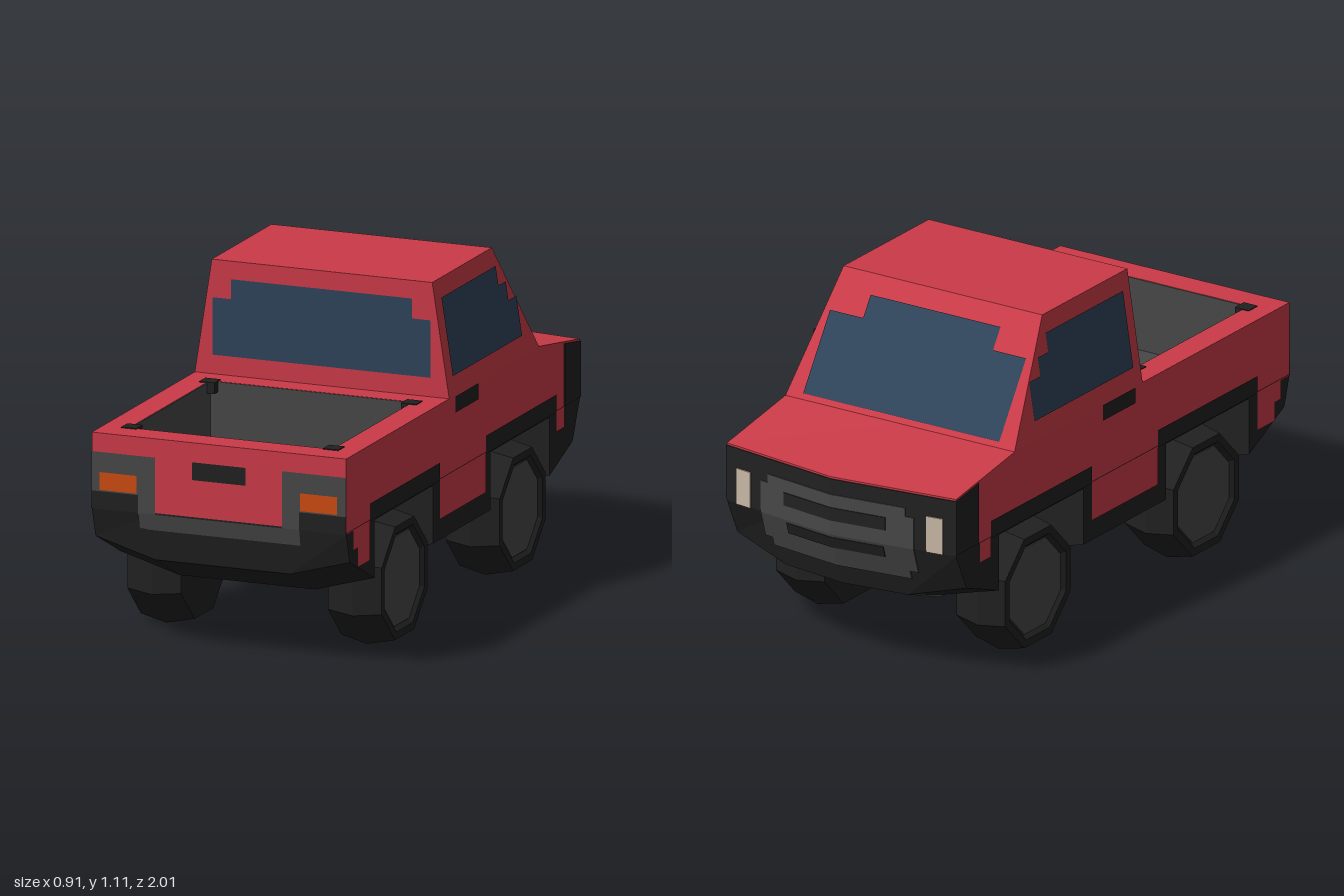
import * as THREE from 'three';

const paint = (name, color) => {
  const m = new THREE.MeshStandardMaterial({ color, side: THREE.DoubleSide });
  m.name = name;
  return m;
};

export function createModel() {
  const model = new THREE.Group();
  model.name = 'pickupTruck';
  const red = paint('body red', 0xcb3b48), black = paint('trim black', 0x212121);
  const grey = paint('liner grey', 0x474747), glass = paint('window blue', 0x2e435a);
  const orange = paint('tail light orange', 0xcc4a10), cream = paint('headlight cream', 0xc9b9a6);

  const add = (name, geo, mat) => {
    const mesh = new THREE.Mesh(geo, mat);
    mesh.name = name;
    model.add(mesh);
    return mesh;
  };
  const shapeOf = pts => new THREE.Shape(pts.map(p => new THREE.Vector2(...p)));
  const bend = (geo, rule) => {
    const p = geo.attributes.position;
    for (let i = 0; i < p.count; i++) p.setXYZ(i, ...rule(p.getX(i), p.getY(i), p.getZ(i)));
    geo.computeVertexNormals();
    return geo;
  };
  const box = (name, mat, x0, x1, y0, y1, z0, z1) => {
    const g = new THREE.BoxGeometry(x1 - x0, y1 - y0, z1 - z0);
    return add(name, g.translate((x0 + x1) / 2, (y0 + y1) / 2, (z0 + z1) / 2), mat);
  };

  // Extrudes a [z, y] profile from x0 to x1; the nose comes to a shallow point
  // and the underside drops towards the centre.
  const slab = (name, mat, profile, x0, x1, drop = false) => {
    const g = new THREE.ExtrudeGeometry(shapeOf(profile.map(([z, y]) => [-z, y])), { depth: x1 - x0, bevelEnabled: false });
    g.rotateY(Math.PI / 2).translate(x0, 0, 0);
    bend(g, (x, y, z) => {
      const a = Math.abs(x);
      const ny = drop && y < 0.468 && a < 0.3 ? y - 0.06 : y;
      return [x, ny, z < -0.85 ? z - 0.06 * (1 - a / 0.45) : z];
    });
    return add(name, g, mat);
  };
  // Flat painted plate: 2D outline placed on a surface by a rule
  const plate = (name, mat, pts, rule) =>
    add(name, bend(new THREE.ShapeGeometry(shapeOf(pts)), (u, v) => rule(u, v)), mat);
  const rect = (u0, u1, v0, v1) => [[u0, v0], [u1, v0], [u1, v1], [u0, v1]];

  // Lower body: centre tub and side skirts with wheel arches
  const tail = [[1, 0.475], [1, 0.47], [0.97, 0.37]];
  const nose = [[-0.88, 0.34], [-0.94, 0.47], [-0.94, 0.475]];
  const arch = (z0, z1) => [[z0, 0.27], [z0, 0.465], [z1, 0.465], [z1, 0.27]];
  const tub = [...tail, [0.765, 0.27], [-0.72, 0.27], ...nose];
  const skirt = [...tail, ...arch(0.765, 0.28), ...arch(-0.2, -0.69), ...nose];
  slab('centreTub', [grey, black], tub, 0, 0.24, true);
  slab('centreTub', [grey, black], tub, -0.24, 0, true);
  slab('sideSkirt', black, skirt, 0.24, 0.45, true);
  slab('sideSkirt', black, skirt, -0.45, -0.24, true);

  // Upper body with the open cargo bed
  const upper = shapeOf(rect(-0.45, 0.45, -1, 0.6));
  upper.holes.push(new THREE.Path(rect(-0.36, 0.36, -0.9, -0.23).map(p => new THREE.Vector2(...p))));
  add('upperBody', new THREE.ExtrudeGeometry(upper, { depth: 0.25, bevelEnabled: false })
    .rotateX(-Math.PI / 2).translate(0, 0.475, 0), red);
  box('bedFloor', grey, -0.36, 0.36, 0.47, 0.478, 0.23, 0.9);
  box('bedFrontLiner', grey, -0.36, 0.36, 0.475, 0.724, 0.23, 0.234);
  box('bedRearLiner', grey, -0.36, 0.36, 0.475, 0.724, 0.896, 0.9);

  // Cab: box narrowed at the top, with a raked windscreen
  const cab = new THREE.BoxGeometry(0.9, 0.385, 0.745).toNonIndexed().translate(0, 0.9175, -0.2275);
  bend(cab, (x, y, z) => (y > 1 ? [x * 0.39 / 0.45, y, z < 0 ? -0.35 : z] : [x, y, z]));
  add('cab', cab, red);
  const stepped = (w, top, y0) => [[-w, y0], [w, y0], [w, 0.983], [top, 0.983], [top, 1.05],
    [-top, 1.05], [-top, 0.983], [-w, 0.983]];
  plate('rearWindow', glass, stepped(0.385, 0.32, 0.79), (x, y) => [x, y, 0.149]);
  plate('windscreen', glass, stepped(0.385, 0.255, 0.742),
    (x, y) => [x, y + 0.002, -0.604 + 0.25 * (y - 0.725) / 0.385]);

  // Hood and black nose
  const hood = [[-0.6, 0.475], [-0.6, 0.725], [-0.94, 0.67], [-0.94, 0.475]];
  const noseBlock = [[-0.81, 0.475], [-0.81, 0.685], [-0.943, 0.663], [-0.943, 0.475]];
  for (const [a, b] of [[0, 1], [-1, 0]]) {
    slab('hood', red, hood, a * 0.45, b * 0.45);
    slab('nose', black, noseBlock, a * 0.453, b * 0.453);
  }

  // Grille, slots and headlights follow the nose face
  const faceZ = y => -0.94 + Math.max(0, 0.47 - y) * 0.06 / 0.19;
  const facePart = (name, mat, x0, x1, y0, y1, out) => {
    const ys = y0 < 0.47 && y1 > 0.47 ? [y0, 0.47, y1] : [y0, y1];
    slab(name, mat, [...ys.map(y => [faceZ(y) - out, y]),
      ...ys.slice().reverse().map(y => [faceZ(y) - out + 0.004, y])], x0, x1);
  };
  for (const [a, b] of [[0, 1], [-1, 0]]) {
    facePart('grille', grey, a * 0.27, b * 0.27, 0.35, 0.61, 0.006);
    facePart('grilleEdge', grey, a > -1 ? 0.27 : -0.3, a > -1 ? 0.3 : -0.27, 0.38, 0.58, 0.006);
    facePart('upperSlot', black, a * 0.2, b * 0.2, 0.52, 0.565, 0.009);
    facePart('lowerSlot', black, a * 0.19, b * 0.19, 0.42, 0.46, 0.009);
  }

  // Tailgate paint
  const onTail = out => (x, y) => [x, y, 1 + out - Math.max(0, 0.47 - y) * 0.03 / 0.16];
  plate('tailStrip', grey, rect(-0.285, 0.285, 0.415, 0.47), onTail(0.003));
  plate('tailHandle', black, rect(-0.095, 0.095, 0.6, 0.66), onTail(0.003));

  for (const s of [1, -1]) {
    plate('tailPanel', grey, [[s * 0.225, 0.47], [s * 0.285, 0.47], [s * 0.285, 0.53], [s * 0.45, 0.53],
      [s * 0.45, 0.662], [s * 0.225, 0.662]], onTail(0.003));
    plate('tailCorner', black, rect(s * 0.285, s * 0.45, 0.47, 0.53), onTail(0.003));
    plate('tailLight', orange, rect(s * 0.29, s * 0.42, 0.535, 0.595), onTail(0.006));
    const hx = [s * 0.345, s * 0.405].sort((p, q) => p - q);
    facePart('headlight', cream, hx[0], hx[1], 0.47, 0.595, 0.007);

    // Bed side liners and corner clips
    box('bedSideLiner', grey, s * 0.358 - 0.002, s * 0.358 + 0.002, 0.475, 0.724, 0.23, 0.9);
    for (const z of [0.238, 0.886])
      box('bedClip', black, s * 0.357 - 0.027, s * 0.357 + 0.027, 0.69, 0.728, z - 0.026, z + 0.026);

    // Side paint: arch trim, sill, corners, handle
    const onSide = (z, y) => [s * 0.453, y, z];
    plate('rearArchTrim', black, rect(0.23, 0.81, 0.47, 0.53), onSide);
    plate('frontArchTrim', black, rect(-0.74, -0.155, 0.47, 0.53), onSide);
    plate('doorSill', red, rect(-0.155, 0.23, 0.34, 0.476), onSide);
    plate('frontFender', red, rect(-0.805, -0.74, 0.405, 0.476), onSide);
    plate('rearFender', red, [[1, 0.476], [1, 0.47], [0.945, 0.47], [0.945, 0.405], [0.91, 0.405],
      [0.91, 0.34], [0.81, 0.34], [0.81, 0.476]], onSide);
    plate('doorHandle', black, rect(-0.09, 0.1, 0.668, 0.722), onSide);
    plate('sideWindow', glass, [[0.1, 0.79], [0.1, 1.05], [-0.35, 1.05], [-0.35, 0.985], [-0.41, 0.985],
      [-0.41, 0.922], [-0.475, 0.922], [-0.475, 0.79]],
    (z, y) => [s * (0.454 - 0.06 * (y - 0.725) / 0.385), y, z]);

    // Eight-sided wheels
    for (const z of [0.515, -0.465]) {
      const k = 1 / Math.cos(Math.PI / 8);
      const profile = [[0, -0.095], [0.19, -0.095], [0.21, 0], [0.19, 0.095], [0.165, 0.095], [0.15, 0.08], [0, 0.08]]
        .map(([r, h]) => new THREE.Vector2(r * k, h));
      const tyre = new THREE.LatheGeometry(profile, 8, Math.PI / 8).toNonIndexed();
      tyre.computeVertexNormals();
      const hub = new THREE.CylinderGeometry(0.15 * k, 0.15 * k, 0.006, 8, 1, false, Math.PI / 8).translate(0, 0.081, 0);
      for (const [name, g, m] of [['tyre', tyre, black], ['hub', hub, grey]])
        add(name, g.rotateZ(-s * Math.PI / 2).translate(s * 0.355, 0.21, z), m);
    }
  }
  return model;
}
